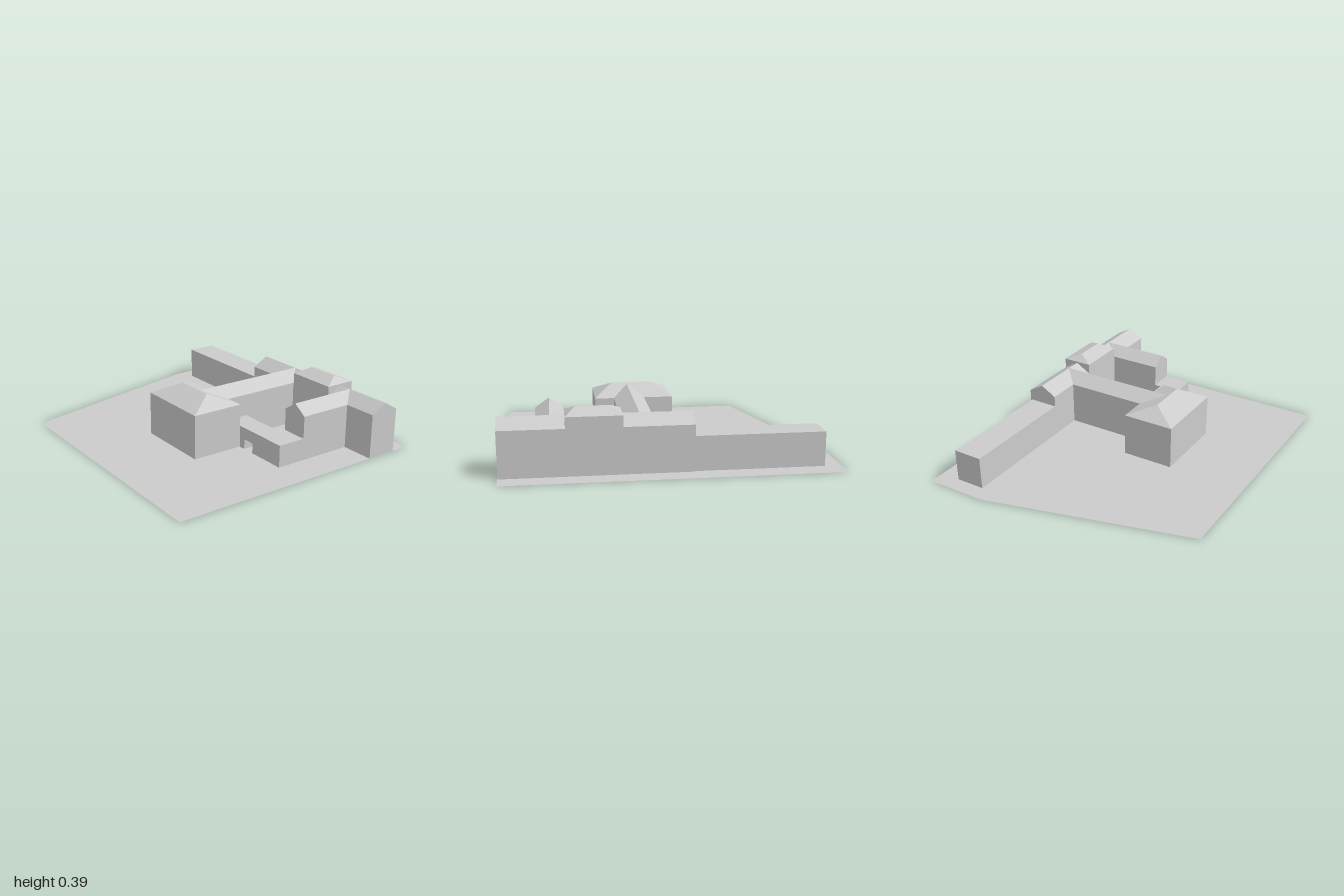
import * as THREE from 'three';

const material = new THREE.MeshStandardMaterial({ color: 0xcccccc, flatShading: true, side: THREE.DoubleSide });

// Flat-shaded mesh from convex faces, each a loop of [x, y, z] corners.
function facesMesh(name, faces) {
  const pos = [];
  for (const f of faces)
    for (let i = 1; i < f.length - 1; i++) pos.push(...f[0], ...f[i], ...f[i + 1]);
  const geo = new THREE.BufferGeometry();
  geo.setAttribute('position', new THREE.Float32BufferAttribute(pos, 3));
  geo.computeVertexNormals();
  const mesh = new THREE.Mesh(geo, material);
  mesh.name = name;
  return mesh;
}

// Bottomless block with a flat, gabled or hipped roof.
// sides: which of N (-z), E (+x), S (+z), W (-x) have a wall.
// ridge: { axis, from, to, at, y }; it may run past the walls into a neighbouring roof.
function block(name, [x0, x1], [z0, z1], [y0, eave], sides, ridge) {
  const ends = { N: [[x1, z0], [x0, z0]], E: [[x1, z1], [x1, z0]], S: [[x0, z1], [x1, z1]], W: [[x0, z0], [x0, z1]] };
  const at = (p, y) => [p[0], y, p[1]];
  const faces = [];
  for (const s of sides) {
    const [p, q] = ends[s];
    faces.push([at(p, y0), at(q, y0), at(q, eave), at(p, eave)]);
  }
  if (!ridge) {
    faces.push([[x0, z1], [x1, z1], [x1, z0], [x0, z0]].map((p) => at(p, eave)));
    return facesMesh(name, faces);
  }
  const alongX = ridge.axis === 'x';
  const [r0, r1] = [ridge.from, ridge.to].map((t) => (alongX ? [t, ridge.y, ridge.at] : [ridge.at, ridge.y, t]));
  const tops = alongX
    ? { N: [r0, r1], S: [r1, r0], W: [r0], E: [r1] }
    : { W: [r1, r0], E: [r0, r1], N: [r0], S: [r1] };
  for (const s of 'NESW') {
    const isEnd = tops[s].length === 1;
    if (isEnd && !sides.includes(s)) continue;
    faces.push([...ends[s].map((p) => at(p, eave)), ...tops[s]]);
  }
  return facesMesh(name, faces);
}

// Site plate with the joined building footprint cut out.
function ground() {
  const toPoints = (list) => list.map(([x, z]) => new THREE.Vector2(x, -z));
  const site = new THREE.Shape(toPoints([[-1, -0.85], [-1, -0.46], [-0.66, 0.845], [1, 0.845], [1, -0.85]]));
  site.holes.push(new THREE.Path(toPoints([
    [-0.9, -0.72], [-0.125, -0.72], [-0.125, -0.73], [0.998, -0.73], [0.998, -0.53], [0.785, -0.53],
    [0.785, 0], [0.53, 0], [0.53, -0.14], [0.615, -0.14], [0.615, -0.53], [0.285, -0.53],
    [0.285, -0.14], [0.45, -0.14], [0.45, 0], [0.405, 0], [0.405, 0.335], [-0.095, 0.335],
    [-0.095, 0], [0.09, 0], [0.09, -0.53], [-0.9, -0.53],
  ])));
  const mesh = new THREE.Mesh(new THREE.ShapeGeometry(site).rotateX(-Math.PI / 2), material);
  mesh.name = 'ground';
  return mesh;
}

// Low flat-roofed range with a passage into the courtyard.
function gateRange() {
  const [x0, x1, p0, p1, h, ph, depth] = [0.285, 0.785, 0.45, 0.53, 0.14, 0.065, 0.14];
  const outline = [[p0, 0], [p0, ph], [p1, ph], [p1, 0], [x1, 0], [x1, h], [x0, h], [x0, 0]];
  const faces = [];
  // side, roof and passage surfaces swept along z, leaving the undersides open
  for (let i = 0; i < outline.length - 1; i++) {
    const [a, b] = [outline[i], outline[i + 1]];
    if (a[1] === 0 && b[1] === 0) continue;
    faces.push([[...a, 0], [...a, -depth], [...b, -depth], [...b, 0]]);
  }
  // front and courtyard walls around the opening
  for (const [a, b, y] of [[x0, p0, 0], [p0, p1, ph], [p1, x1, 0]]) {
    faces.push([[a, y, 0], [b, y, 0], [b, h, 0], [a, h, 0]]);
    faces.push([[b, y, -depth], [a, y, -depth], [a, h, -depth], [b, h, -depth]]);
  }
  return facesMesh('gateRange', faces);
}

export function createModel() {
  const group = new THREE.Group();
  group.name = 'buildingComplex';
  group.add(
    ground(),
    // rear bar, its raised middle and the low annex beside it
    block('rearRange', [-0.125, 0.998], [-0.73, -0.53], [0, 0.28], 'NESW',
      { axis: 'x', from: -0.125, to: 0.998, at: -0.63, y: 0.338 }),
    block('raisedMiddle', [0.288, 0.615], [-0.73, -0.53], [0.28, 0.347], 'NESW',
      { axis: 'x', from: 0.345, to: 0.555, at: -0.63, y: 0.386 }),
    block('lowAnnex', [-0.9, -0.125], [-0.72, -0.53], [0, 0.21], 'NSW'),
    // link between the rear bar and the front pavilion
    block('linkWing', [0.09, 0.285], [-0.53, 0], [0, 0.28], 'EW',
      { axis: 'z', from: -0.63, to: 0.15, at: 0.1875, y: 0.34 }),
    block('frontPavilion', [-0.095, 0.405], [0, 0.338], [0, 0.28], 'NESW',
      { axis: 'x', from: 0.025, to: 0.287, at: 0.169, y: 0.348 }),
    // east wing stepping down to the gate range
    block('eastWing', [0.615, 0.785], [-0.53, -0.183], [0, 0.28], 'ESW',
      { axis: 'z', from: -0.63, to: -0.183, at: 0.7, y: 0.338 }),
    block('eastStep', [0.615, 0.785], [-0.183, -0.14], [0, 0.14], 'EW'),
    gateRange(),
  );
  return group;
}
